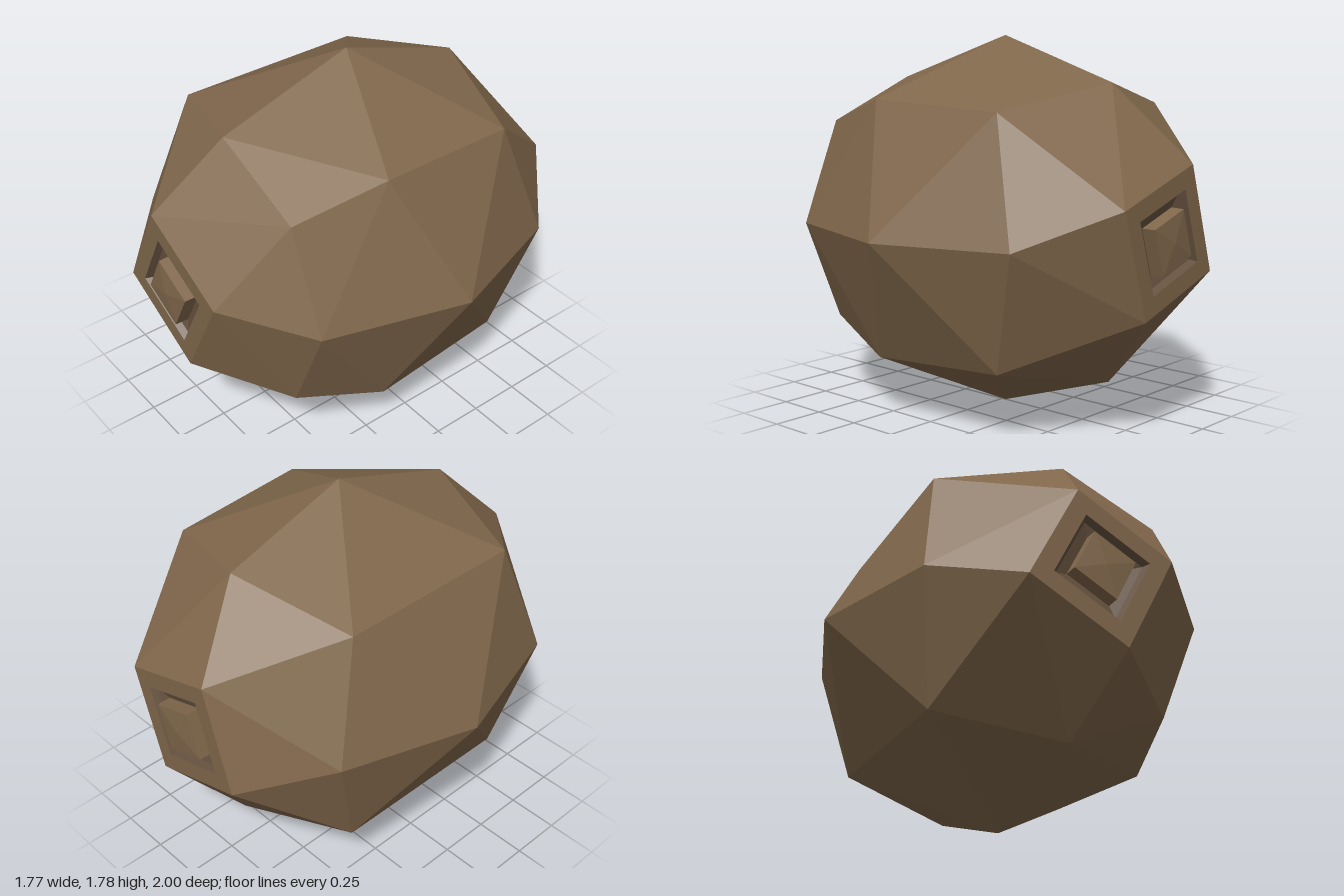
import * as THREE from 'three';
import { ConvexGeometry } from 'three/addons/geometries/ConvexGeometry.js';

const CY = 0.89; // height of the body's centre
const CAP_Z = 0.97; // distance of the flat end caps
const CAP_R = 0.368; // corner radius of the end caps
const FRONT_TURN = 0.305;
const BACK_TURN = 0.476;

// Four corners of a turned square end cap
function capCorners(turn, z) {
  return [0, 1, 2, 3].map((i) => {
    const a = turn + (i * Math.PI) / 2;
    return new THREE.Vector3(-CAP_R * Math.sin(a), CAP_R * Math.cos(a), z);
  });
}

// Faceted four-sided profile of [radius, depth] points, facing +z
function squareLathe(profile) {
  const points = profile.map(([r, d]) => new THREE.Vector2(r, d));
  const g = new THREE.LatheGeometry(points, 4).rotateX(Math.PI / 2).toNonIndexed();
  g.computeVertexNormals();
  return g;
}

export function createModel() {
  const group = new THREE.Group();
  const rock = new THREE.MeshStandardMaterial({ color: 0x80674b });
  const recess = new THREE.MeshStandardMaterial({ color: 0x66513f });
  rock.name = 'rockBrown';
  recess.name = 'recessBrown';

  // Faceted body, coordinates relative to its centre
  const points = [...capCorners(FRONT_TURN, CAP_Z), ...capCorners(BACK_TURN, -CAP_Z)];
  const add = (x, y, z) => points.push(new THREE.Vector3(x, y, z));
  for (const s of [1, -1]) {
    add(0, s * 0.888, -0.02);
    add(s * 0.885, 0, -0.02);
    for (const z of [0.65, -0.65]) {
      add(0, s * 0.68, z);
      add(s * 0.68, 0, z);
    }
    add(0.48, s * 0.48, 0.65);
    add(0.6, s * 0.6, 0.23);
    add(0.565, s * 0.565, -0.475);
    add(-0.57, s * 0.565, 0.47);
    add(-0.57, s * 0.565, -0.48);
  }
  const hull = new ConvexGeometry(points);

  // Leave the end caps open for the sockets
  const src = hull.attributes.position.array;
  const kept = [];
  for (let i = 0; i < src.length; i += 9) {
    const onCap = [2, 5, 8].every((k) => Math.abs(src[i + k]) > CAP_Z - 0.01);
    if (!onCap) kept.push(...src.slice(i, i + 9));
  }
  const bodyGeo = new THREE.BufferGeometry();
  bodyGeo.setAttribute('position', new THREE.Float32BufferAttribute(kept, 3));
  bodyGeo.computeVertexNormals();
  const body = new THREE.Mesh(bodyGeo, rock);
  body.name = 'body';
  body.position.y = CY;
  group.add(body);

  // Square sockets on both ends: rim, sunken groove and raised plug
  const parts = [
    ['Rim', [[CAP_R, 0], [0.248, 0]], rock],
    ['Groove', [[0.248, 0], [0.225, -0.03], [0.16, -0.045]], recess],
    ['Plug', [[0.16, -0.045], [0.158, 0.02], [0, 0.03]], rock],
  ];
  for (const front of [true, false]) {
    const socket = new THREE.Group();
    socket.name = front ? 'frontSocket' : 'backSocket';
    for (const [label, profile, material] of parts) {
      const geo = squareLathe(profile);
      geo.rotateZ(front ? FRONT_TURN : -BACK_TURN);
      const mesh = new THREE.Mesh(geo, material);
      mesh.name = socket.name + label;
      socket.add(mesh);
    }
    socket.position.set(0, CY, front ? CAP_Z : -CAP_Z);
    if (!front) socket.rotation.y = Math.PI;
    group.add(socket);
  }
  return group;
}
